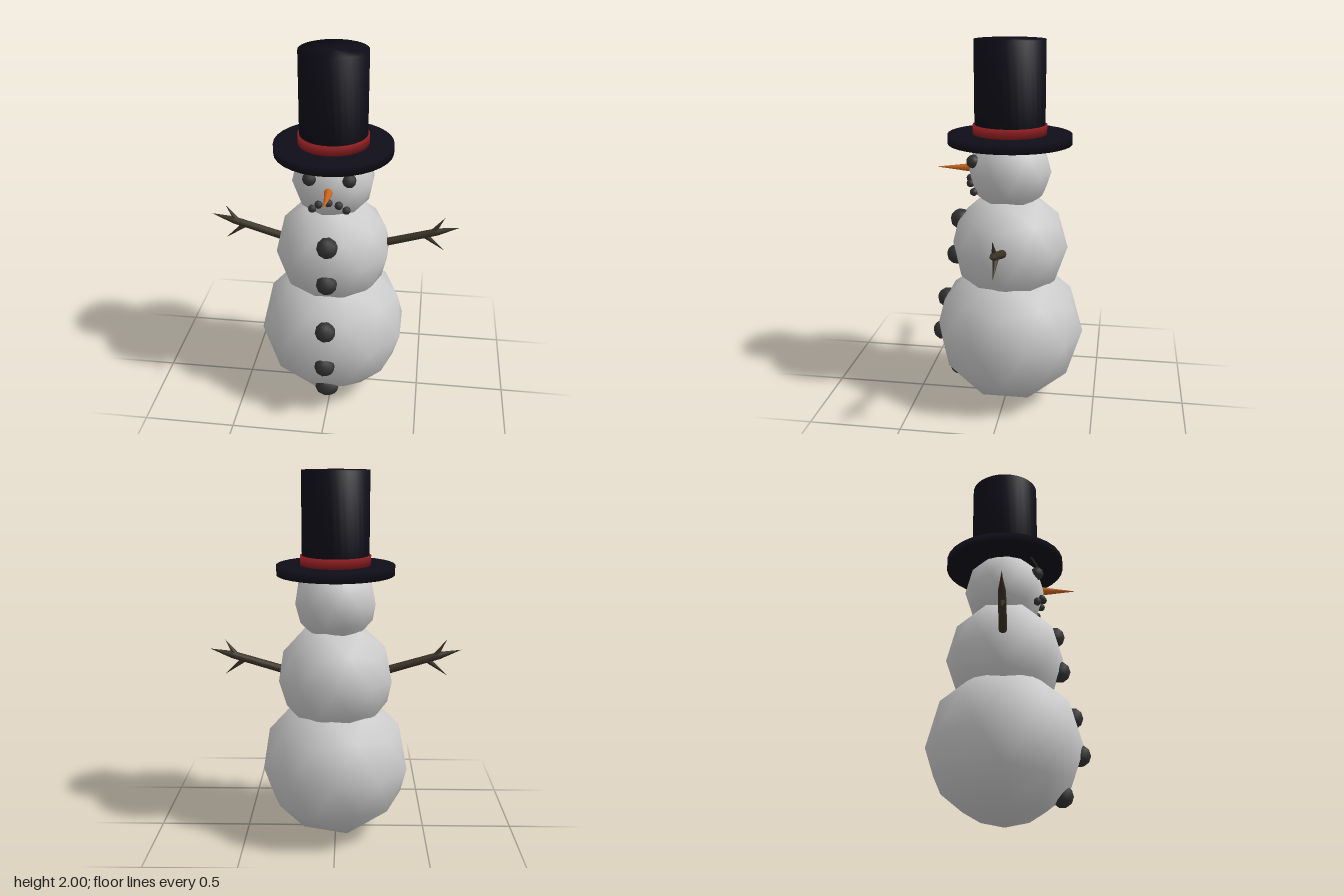
import * as THREE from 'three';

const mat = (color) => new THREE.MeshStandardMaterial({ color });
const snow = mat(0xcccccc);
const coal = mat(0x333333);
const wood = mat(0x3a3226);
const hatCloth = mat(0x0f0d18);
const ribbon = mat(0x8a1c20);
const orange = mat(0xc8641e);
const Z = -0.016; // body axis

export function createModel() {
  const model = new THREE.Group();
  model.name = 'snowman';

  const add = (name, geometry, material, parent = model) => {
    const mesh = new THREE.Mesh(geometry, material);
    mesh.name = name;
    parent.add(mesh);
    return mesh;
  };

  // Coarse, smooth-shaded ball with a vertex at each pole
  const ball = (name, r, x, y, z, material) => {
    const g = new THREE.IcosahedronGeometry(r, 1);
    g.rotateZ(-Math.atan(2 / (1 + Math.sqrt(5))));
    const mesh = add(name, g, material);
    mesh.position.set(x, y, z);
    return mesh;
  };

  // Tapered stick between two points
  const stick = (name, a, b, ra, rb, material, parent) => {
    const from = new THREE.Vector3(...a);
    const dir = new THREE.Vector3(...b).sub(from);
    const mesh = add(name, new THREE.CylinderGeometry(rb, ra, dir.length(), 10), material, parent);
    mesh.position.copy(from).addScaledVector(dir, 0.5);
    mesh.quaternion.setFromUnitVectors(new THREE.Vector3(0, 1, 0), dir.normalize());
    return mesh;
  };

  // Softly shaded disc or drum, slightly deeper than wide
  const drum = (name, r, y0, y1, material) => {
    const profile = [[0, y0], [r, y0], [r, y1], [0, y1]].map((p) => new THREE.Vector2(...p));
    const mesh = add(name, new THREE.LatheGeometry(profile, 32), material);
    mesh.position.z = Z;
    mesh.scale.z = 1.05;
  };

  // Snowballs
  ball('bottomSnowball', 0.41, 0, 0.412, Z, snow);
  ball('middleSnowball', 0.317, 0, 0.9, Z, snow);
  ball('head', 0.222, 0, 1.315, Z, snow);

  // Top hat
  drum('hatBrim', 0.314, 1.464, 1.515, hatCloth);
  drum('hatBand', 0.187, 1.51, 1.565, ribbon);
  drum('hatCrown', 0.178, 1.515, 2, hatCloth);

  // Coal buttons
  [[1.035, 0.255], [0.83, 0.28], [0.567, 0.338], [0.365, 0.37], [0.155, 0.275]].forEach(([y, z], i) => {
    const button = ball('button', 0.057, 0, y, z, coal);
    if (i === 4) button.scale.x = 1.18;
  });

  // Carrot nose
  stick('nose', [0, 1.325, 0.16], [0, 1.323, 0.383], 0.027, 0, orange);

  // Mouth centre
  ball('mouthCoal', 0.022, 0, 1.267, 0.198, coal);

  for (const s of [-1, 1]) {
    // Eyes and downturned mouth
    ball('eye', 0.037, s * 0.102, 1.38, 0.163, coal);
    ball('mouthCoal', 0.022, s * 0.052, 1.25, 0.188, coal);
    ball('mouthCoal', 0.022, s * 0.089, 1.213, 0.164, coal);

    // Twig eyebrows, forked at the inner end
    const brow = new THREE.Group();
    brow.name = s > 0 ? 'leftEyebrow' : 'rightEyebrow';
    model.add(brow);
    stick('browTwig', [s * 0.14, 1.468, 0.13], [s * 0.06, 1.43, 0.178], 0.006, 0.005, wood, brow);
    stick('browTip', [s * 0.06, 1.43, 0.178], [s * 0.033, 1.421, 0.19], 0.005, 0, wood, brow);
    stick('browFork', [s * 0.075, 1.437, 0.17], [s * 0.042, 1.412, 0.192], 0.004, 0, wood, brow);
    stick('browFork', [s * 0.065, 1.432, 0.174], [s * 0.048, 1.45, 0.178], 0.004, 0, wood, brow);

    // Branch arms with a tapering tip and two twigs
    const arm = new THREE.Group();
    arm.name = s > 0 ? 'leftArm' : 'rightArm';
    model.add(arm);
    const p = (x, y) => [s * x, y, -0.02];
    stick('branch', p(0.275, 0.938), p(0.56, 1.022), 0.022, 0.02, wood, arm);
    stick('branchTip', p(0.56, 1.022), p(0.68, 1.055), 0.02, 0, wood, arm);
    stick('upperTwig', p(0.535, 1.012), p(0.6, 1.11), 0.017, 0, wood, arm);
    stick('lowerTwig', p(0.49, 1.003), p(0.607, 0.91), 0.017, 0, wood, arm);
  }

  return model;
}
